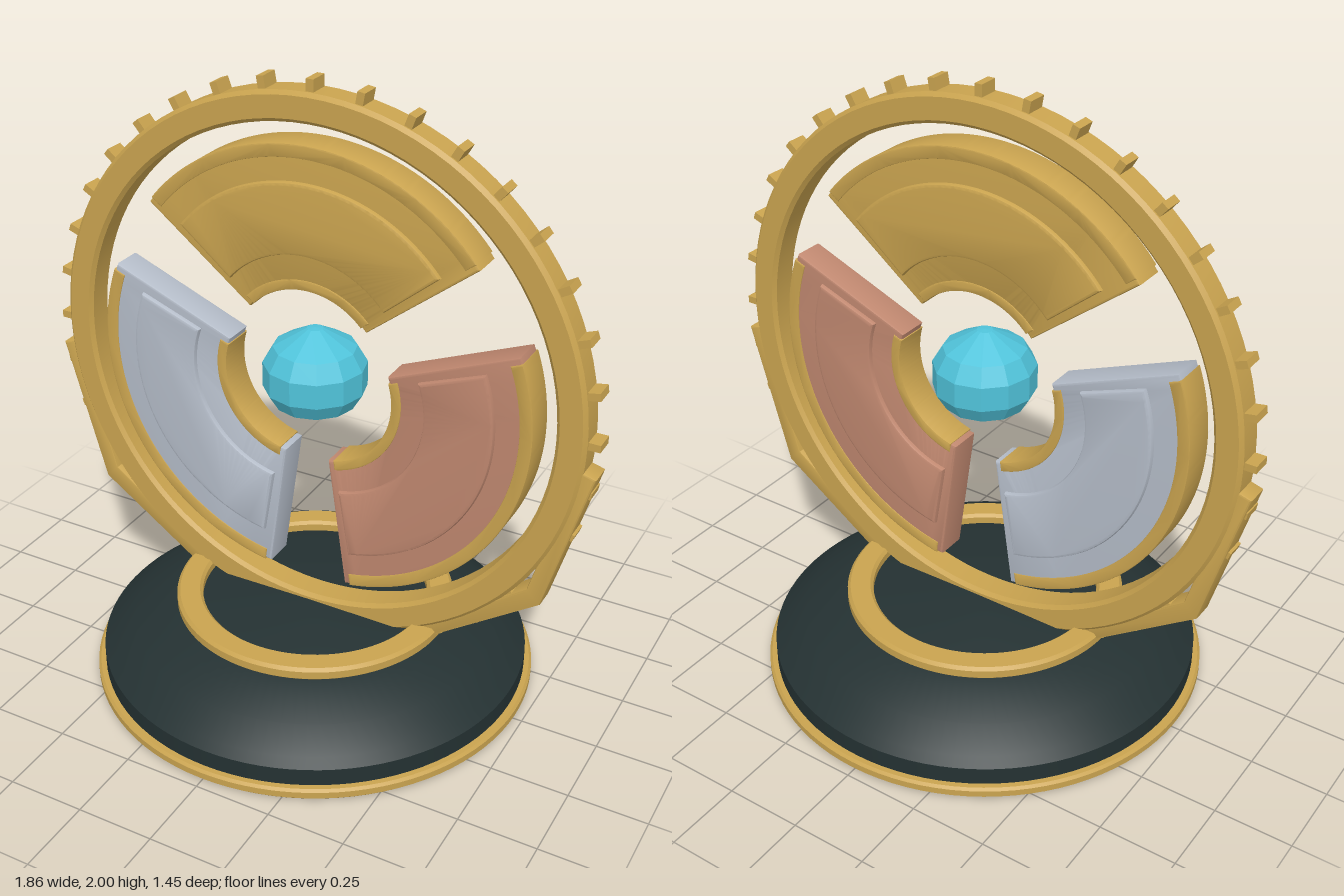
import * as THREE from 'three';
import { toCreasedNormals } from 'three/addons/utils/BufferGeometryUtils.js';

const CENTER_Y = 1.07;
const mat = (name, color) => {
  const m = new THREE.MeshStandardMaterial({ color });
  m.name = name;
  return m;
};

function addMesh(parent, name, geometry, material) {
  const mesh = new THREE.Mesh(geometry, material);
  mesh.name = name;
  parent.add(mesh);
  return mesh;
}

// Turned solid from [radius, height] pairs, listed bottom to top on the outside
function turned(points, segments = 96) {
  const profile = points.map(([r, y]) => new THREE.Vector2(r, y));
  return toCreasedNormals(new THREE.LatheGeometry(profile, segments), 0.45);
}

// Chamfered ring around the y axis
function hoop(rIn, rOut, y0, y1, c) {
  return turned([
    [rIn, y0 + c], [rIn + c, y0], [rOut - c, y0], [rOut, y0 + c],
    [rOut, y1 - c], [rOut - c, y1], [rIn + c, y1], [rIn, y1 - c], [rIn, y0 + c],
  ]);
}

// Shape thickened to z = -half..half with bevels kept inside the outline
function slab(shape, half, bevel) {
  const g = new THREE.ExtrudeGeometry(shape, {
    depth: 2 * (half - bevel), curveSegments: 40, bevelEnabled: true,
    bevelThickness: bevel, bevelSize: bevel, bevelOffset: -bevel, bevelSegments: 2,
  });
  g.translate(0, 0, -(half - bevel));
  return toCreasedNormals(g, 0.4);
}

// Annular sector opening upwards; shift moves its centre outwards
function sector(rIn, rOut, halfAngle, shift, endInset = 0) {
  const a = Math.PI / 2;
  const h = THREE.MathUtils.degToRad(halfAngle);
  const hOut = h - endInset / rOut, hIn = h - endInset / rIn;
  const s = new THREE.Shape();
  s.absarc(0, shift, rOut, a - hOut, a + hOut, false);
  s.absarc(0, shift, rIn, a + hIn, a - hIn, true);
  s.closePath();
  return s;
}

export function createModel() {
  const root = new THREE.Group();
  root.name = 'ringOrnament';
  const gold = mat('gold', 0xc9a34f);
  const silver = mat('silver', 0xb4bcc8);
  const copper = mat('copper', 0xbf876f);
  const dark = mat('darkBase', 0x243132);
  const teal = mat('tealCrystal', 0x50c3da);

  // Pedestal with gold trim and collar
  const base = new THREE.Group();
  base.name = 'base';
  root.add(base);
  addMesh(base, 'pedestal', turned([
    [0, 0], [0.7, 0], [0.7, 0.1], [0.67, 0.125], [0.595, 0.185], [0.44, 0.245], [0, 0.25],
  ]), dark);
  addMesh(base, 'baseTrim', hoop(0.69, 0.725, 0.005, 0.042, 0.008), gold);
  addMesh(base, 'collar', hoop(0.37, 0.455, 0.235, 0.28, 0.01), gold);

  // Upright toothed ring
  const wheel = new THREE.Group();
  wheel.name = 'wheel';
  wheel.position.y = CENTER_Y;
  root.add(wheel);
  const ring = hoop(0.8, 0.893, -0.05, 0.05, 0.012);
  ring.rotateX(Math.PI / 2);
  addMesh(wheel, 'outerRing', ring, gold);
  const toothGeo = new THREE.BoxGeometry(0.024, 0.05, 0.066);
  toothGeo.translate(0, 0.905, 0);
  for (let i = 0; i < 36; i++) {
    addMesh(wheel, 'tooth', toothGeo, gold).rotation.z = i * Math.PI / 18;
  }

  // Three raised sector plates with gold inner and outer rims
  const bodyGeo = slab(sector(0.25, 0.694, 52, 0.045), 0.054, 0.008);
  const panelGeo = slab(sector(0.335, 0.56, 50.5, 0.07), 0.07, 0.01);
  const outerRimGeo = slab(sector(0.655, 0.697, 52, 0.045, 0.02), 0.057, 0.004);
  const innerRimGeo = slab(sector(0.247, 0.28, 52, 0.045, 0.02), 0.057, 0.004);
  [gold, silver, copper].forEach((material, i) => {
    const plate = new THREE.Group();
    plate.name = ['topPlate', 'rightPlate', 'leftPlate'][i];
    plate.rotation.z = i * Math.PI * 2 / 3;
    wheel.add(plate);
    addMesh(plate, 'plateBody', bodyGeo, material);
    addMesh(plate, 'raisedPanel', panelGeo, material);
    addMesh(plate, 'outerRim', outerRimGeo, gold);
    addMesh(plate, 'innerRim', innerRimGeo, gold);
  });

  // Bent braces on both sides of the ring
  for (const side of [1, -1]) {
    const pts = [
      [0.44, 0.25], [0.79, 0.49], [0.928, 0.97], [0.875, 0.985], [0.745, 0.535], [0.4, 0.285],
    ].map(([x, y]) => new THREE.Vector2(side * x, y));
    addMesh(root, side > 0 ? 'leftBrace' : 'rightBrace',
      slab(new THREE.Shape(pts), 0.04, 0.006), gold);
  }

  // Faceted crystal at the centre
  const gemProfile = [
    [0, -0.15], [0.025, -0.148], [0.13, -0.098], [0.162, -0.045],
    [0.162, 0.035], [0.13, 0.09], [0.025, 0.15], [0, 0.152],
  ].map(([r, y]) => new THREE.Vector2(r, y));
  const gem = new THREE.LatheGeometry(gemProfile, 12).toNonIndexed();
  gem.computeVertexNormals();
  addMesh(wheel, 'crystal', gem, teal);

  return root;
}
